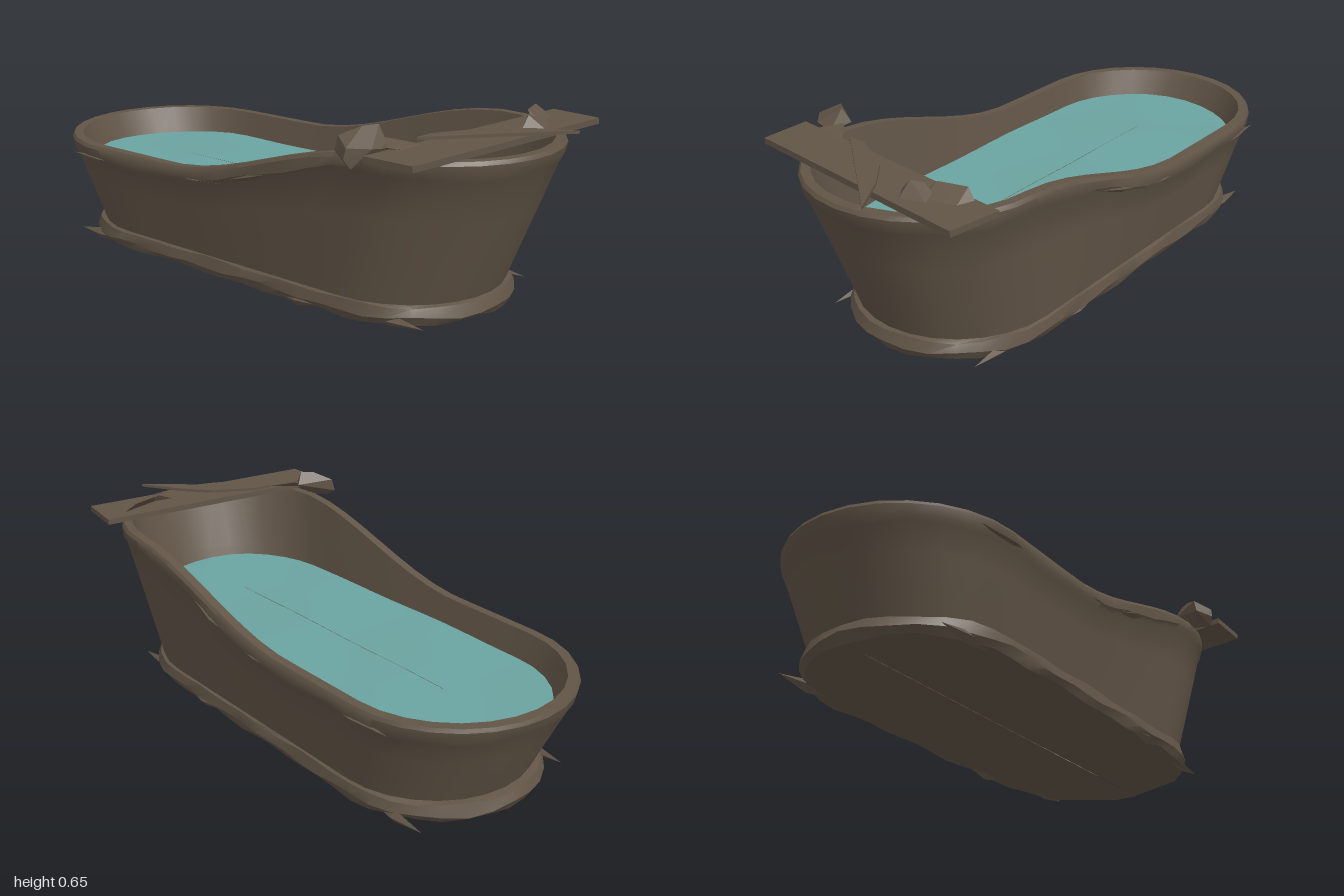
import * as THREE from 'three';
import { toCreasedNormals } from 'three/addons/utils/BufferGeometryUtils.js';
import { ConvexGeometry } from 'three/addons/geometries/ConvexGeometry.js';

const CX = 0.035; // the tub sits slightly to one side of the board
const ARC = 14, SIDE = 12, N = 2 * (ARC + SIDE);

// Rounded-end outline: front arc, right side, back arc, left side
function outline(hx, zf, zb) {
  const pts = [], f = zf - hx, b = zb + hx;
  for (let i = 0; i < ARC; i++) {
    const a = (i / ARC) * Math.PI;
    pts.push([hx * Math.cos(a), f + hx * Math.sin(a)]);
  }
  for (let i = 0; i < SIDE; i++) pts.push([-hx, f + (b - f) * i / SIDE]);
  for (let i = 0; i < ARC; i++) {
    const a = (i / ARC) * Math.PI;
    pts.push([-hx * Math.cos(a), b - hx * Math.sin(a)]);
  }
  for (let i = 0; i < SIDE; i++) pts.push([hx, b + (f - b) * i / SIDE]);
  return pts;
}

// Skin a list of outlines; y is a rule of (x, z, index)
function loft(rings, crease) {
  const pos = [], idx = [];
  for (const [hx, zf, zb, y] of rings) {
    outline(hx, zf, zb).forEach(([x, z], i) => pos.push(x + CX, y(x, z, i), z));
  }
  for (let j = 0; j < rings.length - 1; j++) {
    for (let i = 0; i < N; i++) {
      const a = j * N + i, b = j * N + (i + 1) % N;
      idx.push(a, a + N, b, b, a + N, b + N);
    }
  }
  const g = new THREE.BufferGeometry();
  g.setAttribute('position', new THREE.Float32BufferAttribute(pos, 3));
  g.setIndex(idx);
  return toCreasedNormals(g, crease);
}

// Rim is high at the front and sweeps down to the back
const top = outline(0.4, 0.97, -1);
function rim(i) {
  const s = THREE.MathUtils.clamp((top[i][1] + 0.25) / 0.85, 0, 1);
  return 0.393 + 0.175 * s * s * (3 - 2 * s);
}
const wobble = (i, k) => Math.sin(i * 1.7 + k) * 0.6 + Math.sin(i * 0.9 + k * 2) * 0.4;

export function createModel() {
  const group = new THREE.Group();
  const wood = new THREE.MeshStandardMaterial({ color: 0x625547 });
  wood.name = 'weathered brown';
  const teal = new THREE.MeshStandardMaterial({ color: 0x6aa3a0 });
  teal.name = 'water teal';
  const add = (name, geo, mat = wood) => {
    const m = new THREE.Mesh(geo, mat);
    m.name = name;
    group.add(m);
    return m;
  };

  // Tub: underside, foot band, sloped wall, lip, inner wall
  const wall = t => [0.342 + 0.052 * t, 0.79 + 0.165 * t, -0.86 - 0.12 * t,
    (x, z, i) => 0.08 + (rim(i) - 0.06 - 0.08) * t + (t === 1 ? 0.008 * wobble(i, 1) : 0)];
  const inner = t => [0.308 + 0.057 * t, 0.75 + 0.185 * t, -0.825 - 0.135 * t,
    (x, z, i) => 0.1 + (rim(i) - 0.1) * t];
  add('tub', loft([
    [0.001, 0.7, -0.78, () => 0.022],
    [0.325, 0.785, -0.865, () => 0.022],
    [0.345, 0.805, -0.88, (x, z, i) => 0.018 + 0.008 * wobble(i, 0)],
    [0.358, 0.82, -0.9, (x, z, i) => 0.042 + 0.008 * wobble(i, 2)],
    [0.351, 0.806, -0.886, (x, z, i) => 0.076 + 0.006 * wobble(i, 4)],
    wall(0), wall(0.33), wall(0.67), wall(1),
    [0.404, 0.965, -0.99, (x, z, i) => rim(i) - 0.045 + 0.008 * wobble(i, 1)],
    [0.404, 0.972, -1, (x, z, i) => rim(i) - 0.012],
    [0.396, 0.965, -0.995, (x, z, i) => rim(i)],
    inner(1), inner(0.5), inner(0),
    [0.001, 0.6, -0.7, () => 0.1],
  ], 0.6));

  // Water, gently rippled
  const ripple = (x, z) => 0.3 + 0.003 * Math.sin(9 * x + 4 * z) * Math.cos(7 * z - 3 * x);
  add('water', loft([1, 0.75, 0.5, 0.25, 0.003].map(k =>
    [0.353 * k, 0.5 + 0.345 * k, -0.575 - 0.352 * k, ripple]), 3), teal);

  // Flat pieces cut from a plan outline of [x, z] corners
  const slab = (name, corners, y, h) => {
    const s = new THREE.Shape(corners.map(([x, z]) => new THREE.Vector2(x, -z)));
    const g = new THREE.ExtrudeGeometry(s, { depth: h, bevelEnabled: false });
    g.rotateX(-Math.PI / 2);
    g.translate(0, y, 0);
    return add(name, g);
  };
  slab('board', [[-0.45, 0.81], [0.425, 0.925], [0.45, 0.75], [-0.45, 0.64]], 0.571, 0.02);
  slab('splinter', [[-0.22, 0.665], [0.0, 0.85], [0.165, 0.99], [0.08, 0.85], [0.0, 0.755], [-0.15, 0.67]], 0.597, 0.01);

  // Broken chunks lying on the board
  const chunk = (name, pts) =>
    add(name, new ConvexGeometry(pts.map(p => new THREE.Vector3(...p))));
  chunk('cornerChunk', [
    [-0.455, 0.57, 0.575], [-0.45, 0.603, 0.58], [-0.42, 0.58, 0.515], [-0.41, 0.625, 0.52],
    [-0.36, 0.652, 0.57], [-0.32, 0.655, 0.6], [-0.295, 0.61, 0.585], [-0.33, 0.59, 0.645],
    [-0.4, 0.6, 0.635], [-0.44, 0.54, 0.59], [-0.37, 0.555, 0.6]]);
  chunk('cornerWedge', [
    [-0.36, 0.59, 0.6], [-0.3, 0.613, 0.61], [-0.23, 0.592, 0.69], [-0.31, 0.588, 0.69],
    [-0.36, 0.6, 0.66]]);
  chunk('sideChunk', [
    [0.14, 0.59, 0.81], [0.175, 0.626, 0.81], [0.21, 0.622, 0.79], [0.25, 0.605, 0.8],
    [0.26, 0.59, 0.84], [0.18, 0.59, 0.865]]);
  chunk('sideChunk', [
    [0.22, 0.6, 0.8], [0.24, 0.627, 0.77], [0.335, 0.627, 0.745], [0.37, 0.6, 0.76],
    [0.34, 0.592, 0.8], [0.24, 0.592, 0.825]]);

  // Chipped splinters along both sides and the foot: y, z, length, height, half width, tilt
  const chips = [
    [0.415, 0.12, 0.3, 0.03, 0.392, -0.28], [0.362, -0.12, 0.28, 0.022, 0.391, -0.05],
    [0.35, -0.6, 0.3, 0.018, 0.39, 0],
    [0.025, 0.28, 0.2, 0.045, 0.34, 0], [0.026, -0.7, 0.24, 0.045, 0.31, 0],
    [0.03, 0.62, 0.24, 0.04, 0.3, 0],
  ];
  for (const side of [-1, 1]) {
    for (const [y, z, len, h, hx, tilt] of chips) {
      const g = new THREE.OctahedronGeometry(0.5);
      g.scale(0.036, h, len);
      const m = add('chip', g);
      m.position.set(CX + side * hx, y, z);
      m.rotation.x = tilt;
    }
  }
  return group;
}
